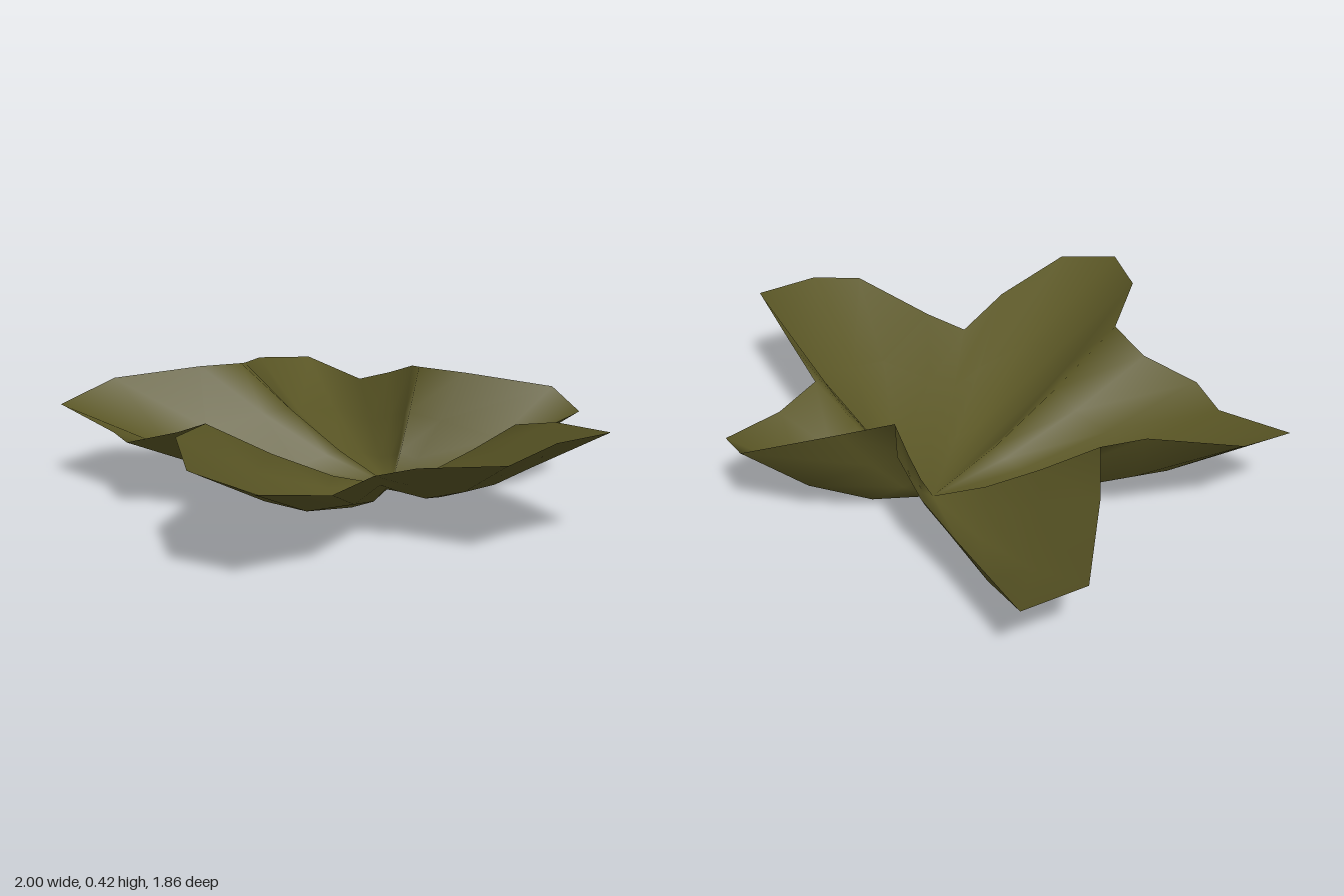
import * as THREE from 'three';

// Rim of each petal, clockwise from above: [x, y, z, curl].
// A high curl keeps the rib low before it sweeps up to the rim.
const petals = {
  backRight: [
    [-0.06, 0.42, -0.52, 1.2], [0.05, 0.39, -0.67, 1.4], [0.26, 0.33, -0.93, 2],
    [0.44, 0.275, -0.87, 1.8], [0.47, 0.26, -0.62, 1.5],
  ],
  right: [
    [0.48, 0.31, -0.45, 1.2], [0.70, 0.37, -0.40, 1.3], [1.0, 0.41, -0.31, 1.6],
    [0.96, 0.41, -0.08, 2], [0.91, 0.36, 0.10, 1.8], [0.59, 0.30, 0.18, 1.5],
  ],
  frontRight: [
    [0.46, 0.26, 0.25, 1.3], [0.55, 0.275, 0.53, 1.7], [0.53, 0.34, 0.84, 1.9],
    [0.32, 0.39, 0.93, 2], [0.08, 0.42, 0.78, 1.6],
  ],
  frontLeft: [
    [-0.07, 0.39, 0.53, 1.3], [-0.22, 0.33, 0.53, 1.5], [-0.41, 0.27, 0.61, 1.8],
    [-0.58, 0.26, 0.54, 1.9], [-0.89, 0.31, 0.55, 2], [-0.89, 0.37, 0.30, 1.6],
    [-0.68, 0.41, 0.05, 1.3],
  ],
  backLeft: [
    [-0.61, 0.41, -0.10, 1.2], [-0.77, 0.36, -0.26, 1.5], [-1.0, 0.30, -0.54, 2],
    [-0.93, 0.28, -0.76, 1.8], [-0.52, 0.27, -0.66, 1.5], [-0.34, 0.33, -0.65, 1.4],
    [-0.18, 0.39, -0.61, 1.3],
  ],
};

const CENTER = { x: -0.01, z: -0.32 };
const ROWS = 3;

// One cupped shell: ribs run from the low centre out to every rim point
function cuppedShell(rim) {
  const positions = [CENTER.x, 0, CENTER.z];
  for (const [x, y, z, curl] of rim) {
    for (let r = 1; r <= ROWS; r++) {
      const t = r / ROWS;
      positions.push(
        CENTER.x + (x - CENTER.x) * t,
        y * Math.pow(t, curl),
        CENTER.z + (z - CENTER.z) * t,
      );
    }
  }
  const index = [];
  const at = (i, r) => 1 + (i % rim.length) * ROWS + r;
  for (let i = 0; i < rim.length; i++) {
    index.push(0, at(i + 1, 0), at(i, 0));
    for (let r = 0; r < ROWS - 1; r++) {
      const a = at(i, r), b = at(i + 1, r), c = at(i + 1, r + 1), d = at(i, r + 1);
      index.push(a, b, c, a, c, d);
    }
  }
  const geometry = new THREE.BufferGeometry();
  geometry.setAttribute('position', new THREE.Float32BufferAttribute(positions, 3));
  geometry.setIndex(index);
  geometry.computeVertexNormals();
  return geometry;
}

export function createModel() {
  const group = new THREE.Group();
  group.name = 'fivePetalLeaf';

  const olive = new THREE.MeshStandardMaterial({ color: 0x5a5625, side: THREE.DoubleSide });
  olive.name = 'olive green';

  // Petals joined into one smooth shell
  const shell = new THREE.Mesh(cuppedShell(Object.values(petals).flat()), olive);
  shell.name = 'petals';
  group.add(shell);
  return group;
}
